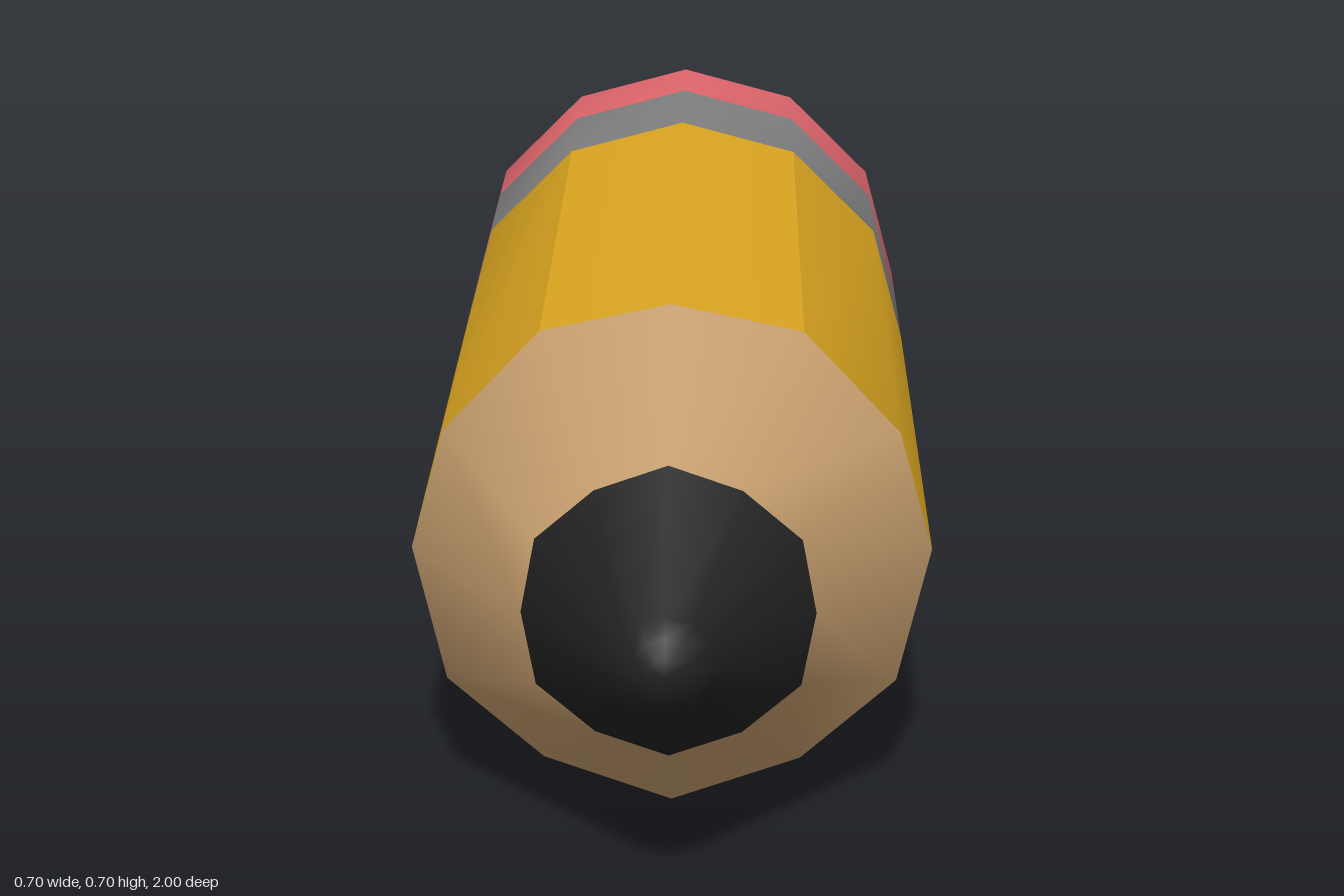
import * as THREE from 'three';
import { mergeGeometries, mergeVertices } from 'three/addons/utils/BufferGeometryUtils.js';

const SIDES = 12;
const R = 0.352;

// Skin rings of [z, radius at even corners, radius at odd corners, extra z at odd corners], ordered back to front.
function loft(rings, first = 0, count = SIDES) {
  const positions = [], index = [];
  const closed = count === SIDES;
  const columns = closed ? SIDES : count + 1;
  for (const [z, even, odd = even, shift = 0] of rings) {
    for (let i = 0; i < columns; i++) {
      const corner = first + i;
      const isOdd = corner % 2 === 1;
      const angle = (corner / SIDES) * Math.PI * 2;
      const r = isOdd ? odd : even;
      positions.push(r * Math.cos(angle), R + r * Math.sin(angle), z + (isOdd ? shift : 0));
    }
  }
  for (let j = 0; j < rings.length - 1; j++) {
    for (let i = 0; i < count; i++) {
      const next = (i + 1) % columns;
      const a = j * columns + i, b = j * columns + next;
      const c = b + columns, d = a + columns;
      if (rings[j][1] > 0) index.push(a, b, c);
      if (rings[j + 1][1] > 0) index.push(a, c, d);
      else if (rings[j][1] > 0) continue;
      else index.push(a, c, d);
    }
  }
  let geometry = new THREE.BufferGeometry();
  geometry.setAttribute('position', new THREE.Float32BufferAttribute(positions, 3));
  geometry.setIndex(index);
  geometry = mergeVertices(geometry, 1e-5);
  geometry.computeVertexNormals();
  return geometry;
}

export function createModel() {
  const group = new THREE.Group();
  group.name = 'pencil';

  const material = (name, color) => {
    const m = new THREE.MeshStandardMaterial({ color });
    m.name = name;
    return m;
  };
  const add = (name, geometry, mat) => {
    const mesh = new THREE.Mesh(geometry, mat);
    mesh.name = name;
    group.add(mesh);
  };

  // Eraser with a rounded back rim
  add('eraser', loft([
    [-1, 0], [-1, 0.28], [-0.995, 0.305], [-0.98, 0.328], [-0.957, 0.343], [-0.92, R], [-0.755, R],
  ]), material('eraser pink', 0xe0666d));

  // Metal band
  add('ferrule', loft([[-0.755, R], [-0.52, R]]), material('metal grey', 0x808080));

  // Painted barrel: six softly bowed panels with a scalloped front edge
  const panels = [];
  for (let i = 0; i < SIDES; i += 2) panels.push(loft([[-0.52, R], [0.513, R, R, 0.035]], i, 2));
  add('barrel', mergeGeometries(panels), material('paint yellow', 0xdaa520));

  // Sharpened wood cone
  add('woodCone', loft([[0.513, R, R, 0.035], [0.765, 0.191, 0.199]]), material('bare wood', 0xc19a6b));

  // Lead with a blunt tip
  add('leadTip', loft([
    [0.765, 0.191, 0.199], [0.96, 0.066, 0.064], [0.985, 0.046], [0.997, 0.023], [1, 0],
  ]), material('lead black', 0x202020));

  return group;
}
